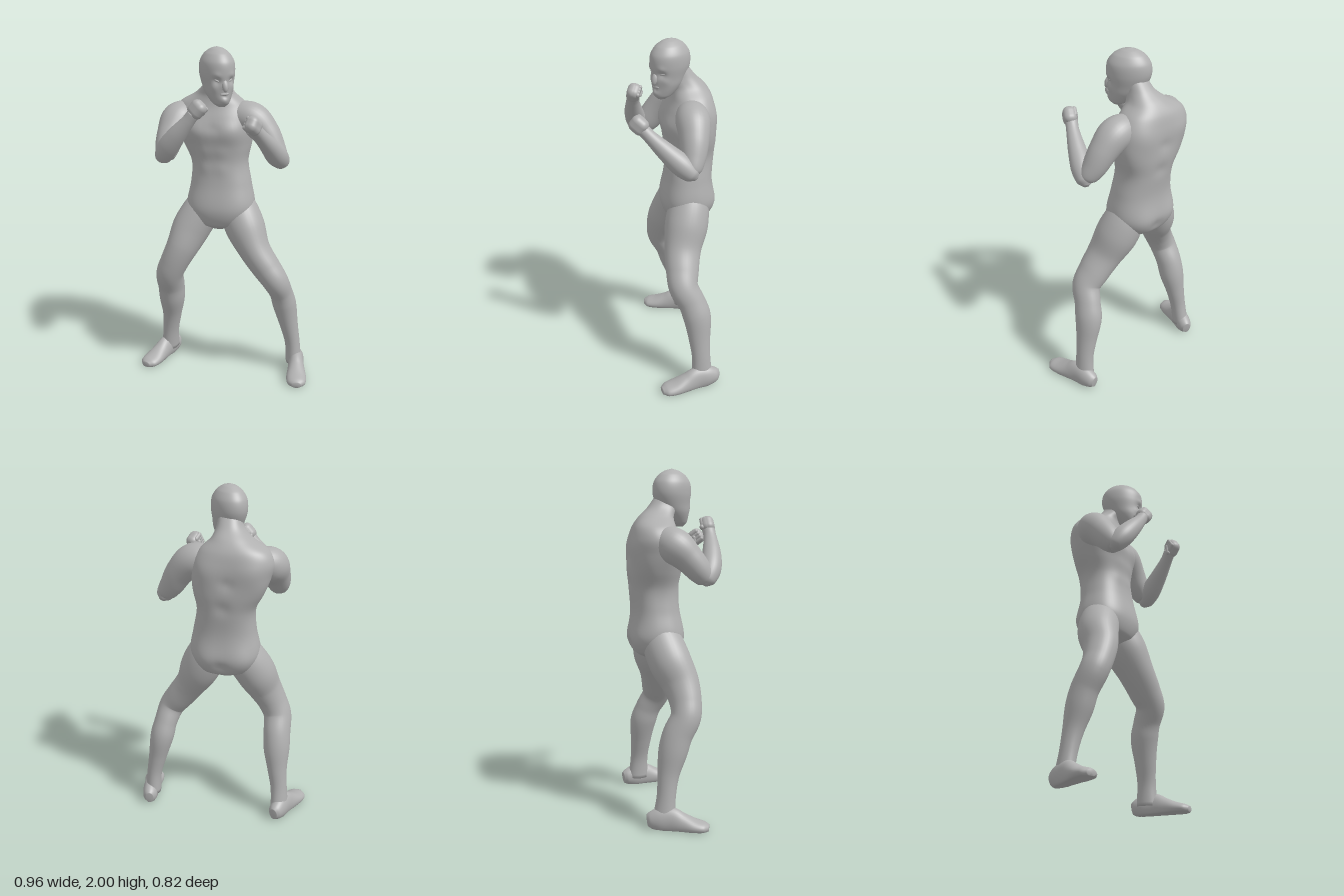
import * as THREE from 'three';
import { RoundedBoxGeometry } from 'three/addons/geometries/RoundedBoxGeometry.js';

const V = (x, y, z) => new THREE.Vector3(x, y, z);
const skin = new THREE.MeshStandardMaterial({ color: 0xb0b0b0 });
skin.name = 'plain grey';

function add(parent, name, geometry, pos = [0, 0, 0]) {
  const mesh = new THREE.Mesh(geometry, skin);
  mesh.name = name;
  mesh.position.set(...pos);
  parent.add(mesh);
  return mesh;
}

// Smooth skin over rows [x, y, z, sideRadius, depthRadius].
// level keeps rings horizontal; power under 1 makes them boxier;
// bumps [x, y, z, reach, height] push muscles in or out.
function loft(rows, { ref = V(0, 0, 1), level = false, power = 1, bumps = [], steps = 40, seg = 32, floor = -1 } = {}) {
  const path = new THREE.CatmullRomCurve3(rows.map(r => V(r[0], r[1], r[2])));
  const radii = new THREE.CatmullRomCurve3(rows.map((r, i) => V(r[3], r[4] ?? r[3], i)));
  const round = v => Math.sign(v) * Math.abs(v) ** power;
  const pos = [], index = [];
  for (let i = 0; i <= steps; i++) {
    const c = path.getPoint(i / steps), r = radii.getPoint(i / steps);
    const t = level ? V(0, 1, 0) : path.getTangent(i / steps);
    const side = ref.clone().cross(t).normalize();
    const depth = t.clone().cross(side);
    for (let j = 0; j < seg; j++) {
      const a = j / seg * Math.PI * 2;
      const off = side.clone().multiplyScalar(round(Math.cos(a)) * r.x)
        .addScaledVector(depth, round(Math.sin(a)) * r.y);
      const p = c.clone().add(off), out = off.clone().normalize(), base = p.clone();
      for (const [x, y, z, reach, h] of bumps)
        p.addScaledVector(out, h * Math.exp(-base.distanceToSquared(V(x, y, z)) / (reach * reach)));
      pos.push(p.x, Math.max(floor, p.y), p.z);
      if (i < steps) {
        const q = i * seg + j, n = i * seg + (j + 1) % seg;
        index.push(q, n, q + seg, n, n + seg, q + seg);
      }
    }
  }
  // End caps
  const first = pos.length / 3, last = steps * seg;
  const s = path.getPoint(0), e = path.getPoint(1);
  pos.push(s.x, s.y, s.z, e.x, e.y, e.z);
  for (let j = 0; j < seg; j++) {
    const n = (j + 1) % seg;
    index.push(first, n, j, first + 1, last + j, last + n);
  }
  const g = new THREE.BufferGeometry();
  g.setAttribute('position', new THREE.Float32BufferAttribute(pos, 3));
  g.setIndex(index);
  g.computeVertexNormals();
  return g;
}

const mirror = (cx, list) => list.flatMap(([x, ...r]) => [[cx + x, ...r], [cx - x, ...r]]);

// Clenched hand: local y runs along the forearm, local z is the palm side
function fist(parent, name, pos, dir, palm) {
  const g = new THREE.Group();
  g.name = name;
  const y = dir.clone().normalize();
  const z = palm.clone().addScaledVector(y, -palm.dot(y)).normalize();
  g.quaternion.setFromRotationMatrix(new THREE.Matrix4().makeBasis(y.clone().cross(z), y, z));
  g.position.set(...pos);
  add(g, 'palm', new RoundedBoxGeometry(0.094, 0.1, 0.076, 6, 0.034));
  for (let i = 0; i < 4; i++)
    add(g, 'finger', new THREE.CapsuleGeometry(0.0135, 0.034, 5, 10), [(i - 1.5) * 0.018, 0.012, 0.027]);
  const thumb = add(g, 'thumb', new THREE.CapsuleGeometry(0.014, 0.04, 5, 10), [0.014, -0.014, 0.034]);
  thumb.rotation.z = 1.0;
  parent.add(g);
}

// Foot from heel to toe with a flat sole and a sloping instep
function foot(parent, name, heel, toe) {
  const rows = [[0, 0.045, 0.024, 0.036], [0.06, 0.048, 0.04, 0.05], [0.2, 0.052, 0.048, 0.07],
    [0.38, 0.05, 0.047, 0.076], [0.56, 0.036, 0.053, 0.06], [0.76, 0.024, 0.061, 0.041],
    [0.92, 0.018, 0.054, 0.03], [1, 0.016, 0.026, 0.018]].map(([s, y, w, h]) =>
    [heel[0] + (toe[0] - heel[0]) * s, y, heel[1] + (toe[1] - heel[1]) * s, w, h]);
  add(parent, name, loft(rows, { ref: V(0, 1, 0), floor: 0 }));
}

export function createModel() {
  const model = new THREE.Group();
  model.name = 'fighter';

  // Torso, built square-on and then turned to the side-on stance
  const torso = add(model, 'torso', loft([
    [-0.055, 0.915, -0.08, 0.05, 0.06], [-0.053, 0.955, -0.08, 0.15, 0.125],
    [-0.05, 1.05, -0.08, 0.203, 0.152], [-0.05, 1.2, -0.092, 0.18, 0.138],
    [-0.06, 1.32, -0.103, 0.167, 0.138], [-0.075, 1.42, -0.104, 0.194, 0.147],
    [-0.09, 1.52, -0.1, 0.222, 0.148], [-0.103, 1.6, -0.105, 0.228, 0.138],
    [-0.105, 1.67, -0.108, 0.19, 0.12], [-0.087, 1.725, -0.093, 0.115, 0.1],
    [-0.068, 1.78, -0.053, 0.075, 0.084], [-0.058, 1.85, -0.015, 0.06, 0.07]],
  { level: true, power: 0.84, steps: 80, seg: 56, bumps: [
    ...mirror(-0.068, [
      [0.085, 1.52, 0.035, 0.075, 0.022],  // chest
      [0.09, 1.03, -0.22, 0.085, 0.02],    // buttocks
      [0.045, 1.3, 0.03, 0.04, 0.005], [0.045, 1.4, 0.03, 0.04, 0.005]]),
    ...mirror(-0.09, [
      [0.12, 1.56, -0.22, 0.08, 0.015],    // shoulder blades
      [0.17, 1.45, -0.17, 0.08, 0.01]]),   // lats
    [-0.068, 1.54, 0.05, 0.03, -0.008], [-0.09, 1.5, -0.25, 0.035, -0.008],
    [-0.065, 1.36, -0.24, 0.04, -0.008], [-0.05, 1.0, -0.23, 0.035, -0.012]] }));
  torso.rotation.y = -0.64;

  // Head with masked face
  const head = new THREE.Group();
  head.name = 'head';
  head.position.x = -0.045;
  model.add(head);
  add(head, 'skull', loft([
    [0, 1.675, 0.045, 0.022, 0.025], [0, 1.695, 0.033, 0.048, 0.055], [0, 1.75, 0.005, 0.076, 0.09],
    [0, 1.8, -0.012, 0.087, 0.11], [0, 1.86, -0.02, 0.097, 0.126], [0, 1.92, -0.02, 0.093, 0.121],
    [0, 1.965, -0.02, 0.068, 0.089], [0, 1.99, -0.02, 0.035, 0.046], [0, 2.0, -0.02, 0.003, 0.004]],
  { level: true, steps: 70, seg: 64, bumps: [
    ...mirror(0, [[0.038, 1.825, 0.08, 0.02, -0.014], [0.04, 1.853, 0.085, 0.018, 0.006],
      [0.05, 1.785, 0.065, 0.022, 0.005]]),
    [0, 1.715, 0.085, 0.022, 0.012], [0, 1.738, 0.095, 0.012, -0.008],
    [0, 1.75, 0.1, 0.014, 0.006], [0, 1.79, 0.1, 0.022, 0.008]] }));
  const nose = add(head, 'nose', new THREE.SphereGeometry(1, 20, 14), [0, 1.797, 0.099]);
  nose.scale.set(0.018, 0.036, 0.018);
  nose.rotation.x = -0.3;
  const lips = add(head, 'lips', new THREE.SphereGeometry(1, 20, 12), [0, 1.75, 0.091]);
  lips.scale.set(0.026, 0.009, 0.01);
  for (const s of [-1, 1]) {
    const eye = add(head, 'eye', new THREE.SphereGeometry(1, 18, 12), [s * 0.037, 1.824, 0.074]);
    eye.scale.set(0.02, 0.007, 0.011);
    eye.rotation.set(0, s * 0.4, s * 0.4);
  }

  // Arms held in guard
  add(model, 'leftUpperArm', loft([[0.04, 1.59, -0.07, 0.05], [0.1, 1.595, -0.035, 0.084],
    [0.163, 1.58, 0.012, 0.096], [0.22, 1.51, 0.062, 0.083], [0.255, 1.425, 0.105, 0.07],
    [0.277, 1.365, 0.14, 0.052], [0.282, 1.34, 0.15, 0.025]], { ref: V(-0.6, 0, 0.8) }));
  add(model, 'leftForearm', loft([[0.31, 1.325, 0.14, 0.015], [0.292, 1.345, 0.15, 0.046],
    [0.24, 1.395, 0.18, 0.062], [0.17, 1.465, 0.225, 0.052], [0.09, 1.545, 0.27, 0.037],
    [0.045, 1.59, 0.29, 0.036]], { ref: V(0.4, 0, 0.9) }));
  fist(model, 'leftFist', [0.036, 1.607, 0.302], V(-0.27, 0.22, 0.13), V(-0.5, 0, -0.8));

  add(model, 'rightUpperArm', loft([[-0.1, 1.59, -0.21, 0.05], [-0.16, 1.59, -0.21, 0.086],
    [-0.22, 1.565, -0.195, 0.1], [-0.278, 1.5, -0.15, 0.083], [-0.32, 1.43, -0.105, 0.07],
    [-0.343, 1.385, -0.075, 0.052], [-0.35, 1.365, -0.065, 0.025]], { ref: V(0.5, 0, 0.8) }));
  add(model, 'rightForearm', loft([[-0.352, 1.355, -0.1, 0.015], [-0.353, 1.38, -0.085, 0.046],
    [-0.343, 1.44, -0.04, 0.06], [-0.308, 1.52, 0.015, 0.054], [-0.255, 1.61, 0.07, 0.038],
    [-0.228, 1.655, 0.09, 0.036]], { ref: V(1, 0, -0.4) }));
  fist(model, 'rightFist', [-0.212, 1.68, 0.102], V(0.14, 0.2, 0.1), V(0.8, 0, -0.4));

  // Legs in a wide stance
  add(model, 'leftLeg', loft([[0.06, 1.2, -0.08, 0.05], [0.09, 1.06, -0.045, 0.108],
    [0.12, 0.93, 0.012, 0.12, 0.128], [0.155, 0.8, 0.08, 0.095, 0.11], [0.205, 0.7, 0.135, 0.086, 0.098],
    [0.25, 0.62, 0.172, 0.078, 0.087], [0.3, 0.53, 0.154, 0.07, 0.081], [0.332, 0.44, 0.142, 0.072, 0.083],
    [0.362, 0.3, 0.15, 0.056, 0.065], [0.385, 0.18, 0.158, 0.046, 0.056], [0.396, 0.05, 0.16, 0.048, 0.065]],
  { ref: V(-0.4, 0, 0.9), steps: 64 }));
  add(model, 'rightLeg', loft([[-0.02, 1.2, -0.12, 0.05], [-0.065, 1.06, -0.145, 0.108],
    [-0.15, 0.92, -0.163, 0.115, 0.122], [-0.22, 0.8, -0.152, 0.095, 0.108], [-0.27, 0.7, -0.165, 0.085, 0.092],
    [-0.293, 0.62, -0.19, 0.082, 0.086], [-0.27, 0.52, -0.236, 0.078, 0.086], [-0.257, 0.42, -0.262, 0.076, 0.082],
    [-0.25, 0.3, -0.29, 0.058, 0.062], [-0.253, 0.18, -0.312, 0.048, 0.054], [-0.252, 0.05, -0.332, 0.048, 0.065]],
  { ref: V(-0.85, 0, 0.5), steps: 64 }));
  foot(model, 'leftFoot', [0.452, 0.08], [0.295, 0.4]);
  foot(model, 'rightFoot', [-0.18, -0.388], [-0.467, -0.195]);
  return model;
}
